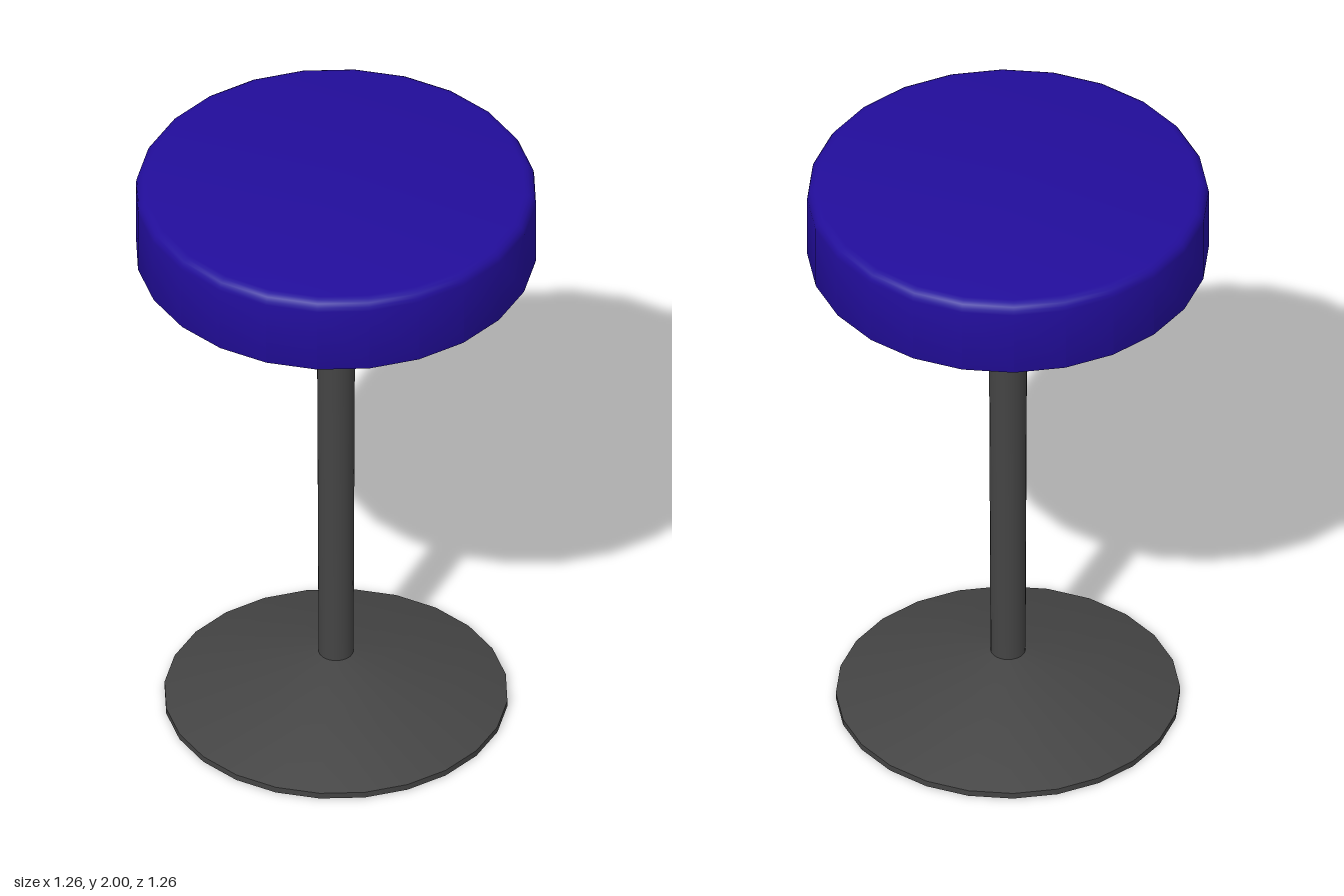
import * as THREE from 'three';
import { toCreasedNormals } from 'three/addons/utils/BufferGeometryUtils.js';

const SIDES = 24;

// Turned part from a bottom-to-top [radius, y] profile, sharp where it bends strongly
function turned(name, profile, material) {
  const points = profile.map(([r, y]) => new THREE.Vector2(r, y));
  const geometry = toCreasedNormals(new THREE.LatheGeometry(points, SIDES), 0.6);
  const mesh = new THREE.Mesh(geometry, material);
  mesh.name = name;
  return mesh;
}

// Quarter-round edge from angle a to b (degrees), centred at radius r, height y
function roundEdge(r, y, radius, a, b, steps = 4) {
  return Array.from({ length: steps + 1 }, (_, i) => {
    const t = THREE.MathUtils.degToRad(a + ((b - a) * i) / steps);
    return [r + radius * Math.cos(t), y + radius * Math.sin(t)];
  });
}

export function createModel() {
  const group = new THREE.Group();
  group.name = 'barStool';
  const metal = new THREE.MeshStandardMaterial({ color: 0x444444 });
  const fabric = new THREE.MeshStandardMaterial({ color: 0x220d9b });

  // Flared foot with a thin rim
  group.add(turned('base', [[0, 0], [0.54, 0], [0.54, 0.02], [0.055, 0.18], [0, 0.18]], metal));

  // Post, slightly wider towards the seat
  group.add(turned('post', [[0.055, 0.175], [0.061, 1.74]], metal));

  // Cushion with a soft top edge and a tighter bottom edge
  group.add(turned('seat', [
    [0, 1.735],
    ...roundEdge(0.618, 1.747, 0.012, -90, 0),
    ...roundEdge(0.595, 1.965, 0.035, 0, 90),
    [0, 2],
  ], fabric));

  return group;
}
